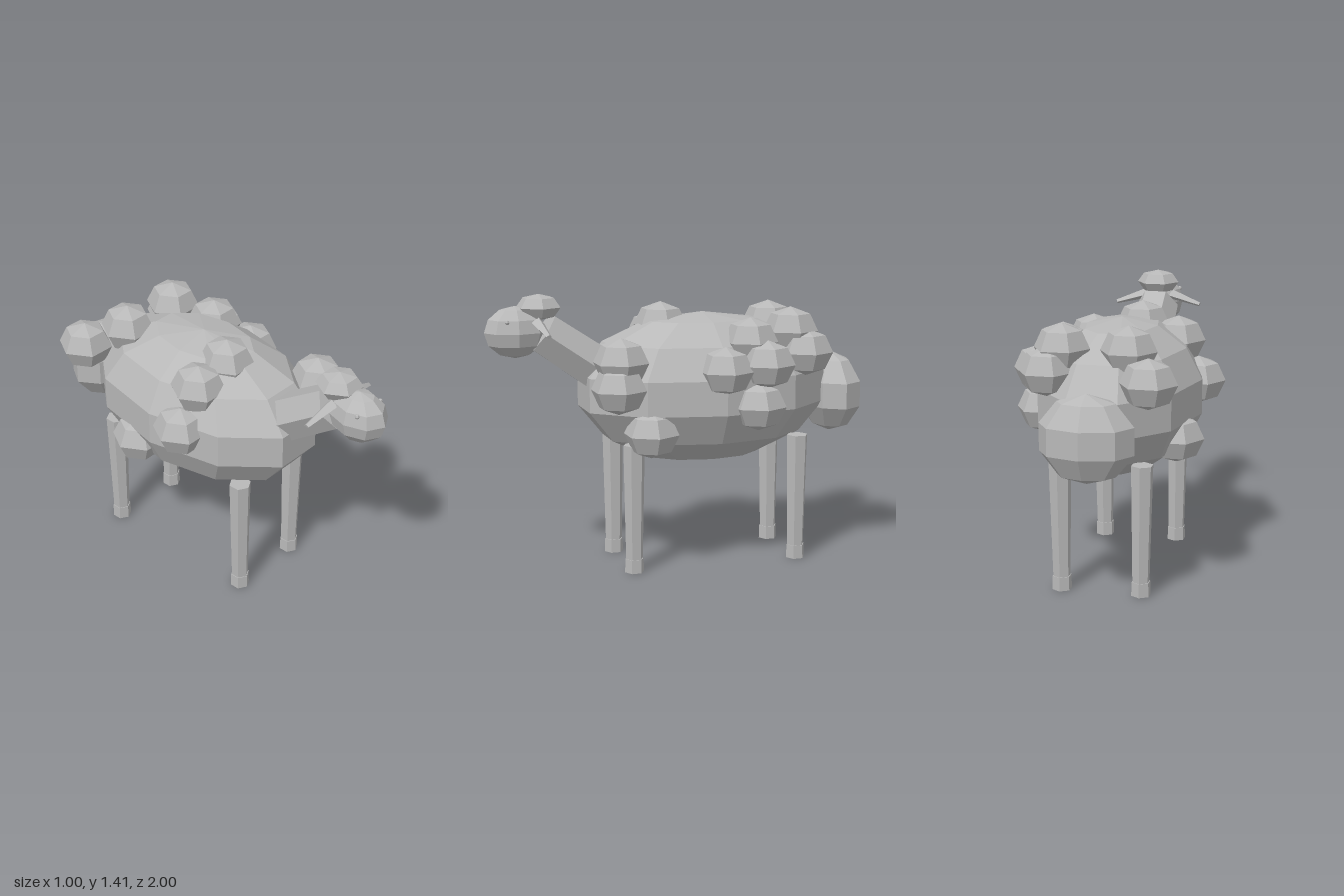
import * as THREE from 'three';

export function createModel() {
  const model = new THREE.Group();
  model.name = 'sheep';
  const grey = new THREE.MeshStandardMaterial({ color: 0xb8b8b8, flatShading: true });
  grey.name = 'grey';

  const add = (name, geometry, parent = model) => {
    const mesh = new THREE.Mesh(geometry, grey);
    mesh.name = name;
    parent.add(mesh);
    return mesh;
  };

  // Faceted ellipsoid with its poles up and down
  const blob = (name, [x, y, z], [rx, ry, rz], around, rings, parent) => {
    const mesh = add(name, new THREE.SphereGeometry(1, around, rings).scale(rx, ry, rz), parent);
    mesh.position.set(x, y, z);
    return mesh;
  };

  // Tapered prism from one point to another; squash flattens it vertically
  const limb = (name, from, to, r0, r1, sides, turn = 0, squash = 1) => {
    const a = new THREE.Vector3(...from), b = new THREE.Vector3(...to);
    const dir = b.clone().sub(a);
    const geo = new THREE.CylinderGeometry(r1, r0, dir.length(), sides).rotateY(turn).scale(squash, 1, 1);
    const mesh = add(name, geo);
    mesh.position.copy(a).add(b).multiplyScalar(0.5);
    mesh.quaternion.setFromUnitVectors(new THREE.Vector3(0, 1, 0), dir.normalize());
    return mesh;
  };

  // Body, tail, neck and head
  blob('body', [0, 0.905, -0.13], [0.42, 0.39, 0.68], 10, 7);
  blob('tail', [0, 0.845, -0.85], [0.24, 0.215, 0.158], 8, 5);
  limb('neck', [0, 1.0, 0.39], [0, 1.22, 0.71], 0.125, 0.115, 6, Math.PI / 2);
  blob('head', [0, 1.225, 0.845], [0.115, 0.13, 0.155], 8, 6);
  blob('headTuft', [0, 1.345, 0.725], [0.115, 0.066, 0.115], 6, 4);

  // Ears, eyes and legs, mirrored left and right
  for (const s of [1, -1]) {
    limb('ear', [s * 0.07, 1.275, 0.745], [s * 0.235, 1.225, 0.725], 0.035, 0.014, 4, 0, 0.8);
    blob('eye', [s * 0.088, 1.284, 0.9], [0.012, 0.012, 0.012], 6, 4);
    for (const z of [0.295, -0.585]) {
      limb('leg', [s * 0.2, 0.07, z], [s * 0.205, 0.66, z], 0.044, 0.056, 6);
      limb('hoof', [s * 0.2, 0, z], [s * 0.2, 0.07, z], 0.05, 0.048, 6);
    }
  }

  // Wool tufts scattered over the body
  const wool = new THREE.Group();
  wool.name = 'wool';
  model.add(wool);
  const tufts = [
    [0.28, 1.09, 0.38], [0.31, 0.96, 0.4], [0.28, 0.725, 0.225],
    [0.36, 1.035, -0.135], [0.36, 0.85, -0.31], [0.36, 1.06, -0.355],
    [0.26, 1.165, -0.3], [0.26, 1.1, -0.6], [0.2, 1.205, -0.54],
    [-0.265, 1.09, -0.725], [-0.13, 1.205, -0.545], [-0.06, 1.225, 0.075],
    [-0.25, 1.155, 0.06], [-0.36, 0.955, 0.04], [-0.315, 0.73, -0.3],
  ];
  for (const p of tufts) blob('woolTuft', p, [0.14, 0.122, 0.142], 6, 4, wool);

  return model;
}
